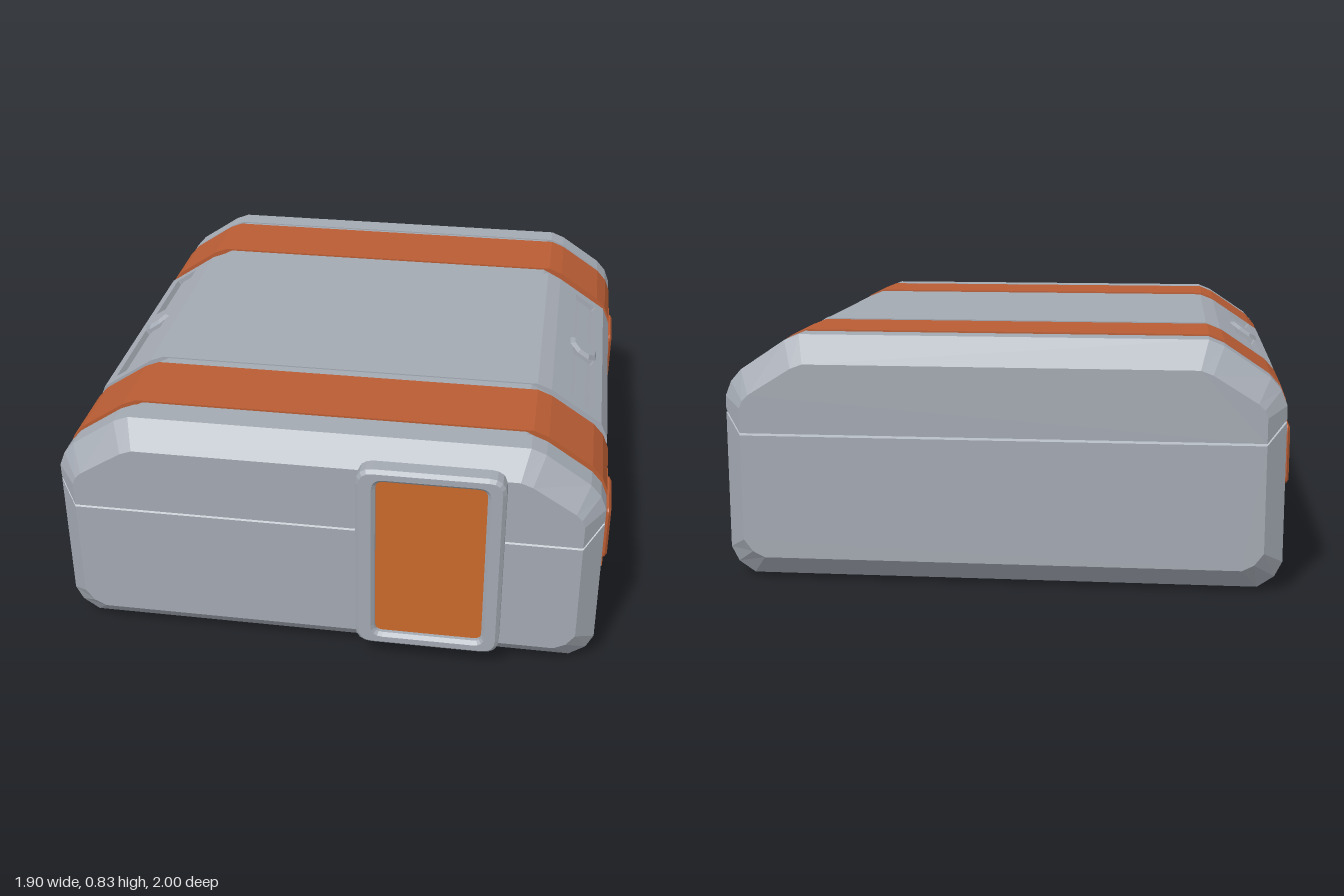
import * as THREE from 'three';

const flat = (name, color) => {
  const m = new THREE.MeshStandardMaterial({ color });
  m.name = name;
  return m;
};

// Right half of a cross-section, listed bottom to top, made into a full counter-clockwise loop
const mirror = (half) => [...half, ...half.slice().reverse().map(([x, y]) => [-x, y])];
const shapeOf = (pts) => new THREE.Shape(pts.map(([x, y]) => new THREE.Vector2(x, y)));

function prism(half, z0, z1) {
  const g = new THREE.ExtrudeGeometry(shapeOf(mirror(half)), { depth: z1 - z0, bevelEnabled: false });
  return g.translate(0, 0, z0);
}

// Faceted solid through a row of matching convex loops, each [z, half section]
function loft(rings) {
  const loops = rings.map(([z, half]) => mirror(half).map(([x, y]) => [x, y, z]));
  const pos = [];
  const tri = (a, b, c) => pos.push(...a, ...b, ...c);
  const n = loops[0].length, last = loops[loops.length - 1];
  for (let r = 0; r + 1 < loops.length; r++) {
    for (let i = 0; i < n; i++) {
      const j = (i + 1) % n, A = loops[r], B = loops[r + 1];
      tri(A[i], A[j], B[j]);
      tri(A[i], B[j], B[i]);
    }
  }
  for (let i = 1; i + 1 < n; i++) {
    tri(last[0], last[i], last[i + 1]);
    tri(loops[0][0], loops[0][i + 1], loops[0][i]);
  }
  const g = new THREE.BufferGeometry();
  g.setAttribute('position', new THREE.Float32BufferAttribute(pos, 3));
  g.computeVertexNormals();
  return g;
}

function roundRect(x0, y0, x1, y1, r, Type = THREE.Shape) {
  const s = new Type();
  s.moveTo(x0 + r, y0);
  s.lineTo(x1 - r, y0).quadraticCurveTo(x1, y0, x1, y0 + r);
  s.lineTo(x1, y1 - r).quadraticCurveTo(x1, y1, x1 - r, y1);
  s.lineTo(x0 + r, y1).quadraticCurveTo(x0, y1, x0, y1 - r);
  s.lineTo(x0, y0 + r).quadraticCurveTo(x0, y0, x0 + r, y0);
  return s;
}

// Flat plate with one window on each side of its middle
function windowPlate(halfLen, height, depth, wx0, wx1, wy0, wy1) {
  const s = shapeOf([[-halfLen, 0], [halfLen, 0], [halfLen, height], [-halfLen, height]]);
  for (const [a, b] of [[wx0, wx1], [-wx1, -wx0]]) s.holes.push(roundRect(a, wy0, b, wy1, 0.006, THREE.Path));
  return new THREE.ExtrudeGeometry(s, { depth, bevelEnabled: false });
}

export function createModel() {
  const gray = flat('caseGray', 0xa3a9b2);
  const rust = flat('bandRust', 0xb85c33);
  const orange = flat('panelOrange', 0xc9692b);

  const model = new THREE.Group();
  model.name = 'storageCase';
  const body = new THREE.Group();
  body.name = 'caseBody';
  body.position.z = -0.0275;
  model.add(body);

  const add = (parent, name, geometry, material) => {
    const m = new THREE.Mesh(geometry, material);
    m.name = name;
    parent.add(m);
    return m;
  };

  // Cross-sections of lid and base, split by the seam
  const lid = [[0.925, 0.575], [0.925, 0.62], [0.905, 0.67], [0.87, 0.71], [0.72, 0.81], [0.67, 0.83]];
  const base = [[0.845, 0.012], [0.9, 0.05], [0.925, 0.1], [0.925, 0.565]];
  const lidFace = [[0.86, 0.508], [0.86, 0.59], [0.85, 0.615], [0.83, 0.635], [0.685, 0.725], [0.645, 0.74]];
  const baseFace = [[0.79, 0.085], [0.83, 0.105], [0.86, 0.145], [0.86, 0.5]];

  // Inner core, visible in the grooves and the seam
  const core = [[0.83, 0.02], [0.88, 0.055], [0.905, 0.105], [0.905, 0.61], [0.885, 0.665], [0.855, 0.695], [0.71, 0.795], [0.65, 0.826]];
  add(body, 'innerCore', prism(core, -0.89, 0.89), gray);
  add(body, 'seamFiller', new THREE.BoxGeometry(1.68, 0.2, 1.92).translate(0, 0.53, 0), gray);

  // Middle section, with pockets filled by the windowed plates
  const d = 0.025, low = [0.9, 0.69], high = [0.72, 0.81];
  const along = new THREE.Vector3(high[0] - low[0], high[1] - low[1], 0);
  const slopeLen = along.length();
  along.normalize();
  const normal = new THREE.Vector3(along.y, -along.x, 0);
  const sink = ([x, y]) => [x - normal.x * d, y - normal.y * d];
  const midLid = [[0.925, 0.575], [0.925, 0.63], low, sink(low), sink(high), high, [0.67, 0.83]];
  const midBase = [[0.845, 0.012], [0.9, 0.055], [0.925, 0.12], [0.91, 0.12], [0.91, 0.565]];
  add(body, 'middleLid', prism(midLid, -0.467, 0.467), gray);
  add(body, 'middleBase', prism(midBase, -0.467, 0.467), gray);

  // Half turns repeat every part on the opposite side or end
  for (const turn of [0, Math.PI]) {
    const side = new THREE.Group();
    side.name = turn ? 'rightSide' : 'leftSide';
    side.rotation.y = turn;
    body.add(side);

    // Vent frame on the sloped shoulder
    const vent = new THREE.Group();
    vent.name = 'shoulderVent';
    const back = new THREE.Vector3(0, 0, -1);
    vent.applyMatrix4(new THREE.Matrix4().makeBasis(back, along, normal).setPosition(...sink(low), 0));
    side.add(vent);
    add(vent, 'ventFrame', windowPlate(0.467, slopeLen, d, 0.045, 0.425, 0.04, 0.135), gray);
    for (const s of [-1, 1]) {
      add(vent, 'ventSlat', new THREE.BoxGeometry(0.35, 0.045, 0.012).translate(s * 0.235, 0.0875, 0.006), gray);
    }
    const boss = new THREE.CylinderGeometry(0.05, 0.065, 0.012, 8).rotateY(Math.PI / 8).rotateX(Math.PI / 2);
    const bossMesh = add(vent, 'ventBoss', boss.toNonIndexed(), gray);
    bossMesh.geometry.computeVertexNormals();
    bossMesh.position.set(0, 0.09, d + 0.006);

    // Lower side wall with two recessed panels
    const wall = add(side, 'sideWall', windowPlate(0.467, 0.445, 0.015, 0.04, 0.438, 0.045, 0.143), gray);
    wall.rotation.y = Math.PI / 2;
    wall.position.set(0.91, 0.12, 0);

    // Latches, one on each band
    for (const s of [-1, 1]) {
      const latch = new THREE.Group();
      latch.name = 'latch';
      latch.position.set(0.925, 0.428, s * 0.6525);
      side.add(latch);
      add(latch, 'latchBase', new THREE.BoxGeometry(0.02, 0.24, 0.25), rust);
      const pad = new THREE.ExtrudeGeometry(roundRect(-0.1, -0.09, 0.1, 0.09, 0.012), {
        depth: 0.01, bevelThickness: 0.008, bevelSize: 0.012, bevelSegments: 1, curveSegments: 3,
      });
      add(latch, 'latchPad', pad.rotateY(Math.PI / 2).translate(0.006, 0, 0), rust);
    }

    // Chamfered end caps and the bands next to them
    const end = new THREE.Group();
    end.name = turn ? 'backEnd' : 'frontEnd';
    end.rotation.y = turn;
    body.add(end);
    add(end, 'endLid', loft([[0.8175, lid], [0.9025, lid], [0.9725, lidFace]]), gray);
    add(end, 'endBase', loft([[0.8175, base], [0.9025, base], [0.9725, baseFace]]), gray);
    const grow = (half, y) => half.map(([px, py]) => [px + 0.003, py + y]);
    add(end, 'bandLid', prism(grow(lid, 0.002), 0.5125, 0.7925), rust);
    add(end, 'bandBase', prism(grow(base, -0.012).map(([x, y]) => [x, y > 0.5 ? 0.565 : y]), 0.5125, 0.7925), rust);
  }

  // Framed panel on the front
  const frame = roundRect(0.127, 0.087, 0.593, 0.763, 0.045);
  frame.holes.push(roundRect(0.168, 0.108, 0.557, 0.742, 0.04, THREE.Path));
  const frameGeo = new THREE.ExtrudeGeometry(frame, {
    depth: 0.053, bevelThickness: 0.012, bevelSize: 0.012, bevelSegments: 1, curveSegments: 4,
  });
  add(model, 'frontFrame', frameGeo.translate(0, 0, 0.935), gray);
  const panel = new THREE.ShapeGeometry(roundRect(0.165, 0.105, 0.56, 0.745, 0.035));
  add(model, 'frontPanel', panel.translate(0, 0, 0.975), orange);

  return model;
}
